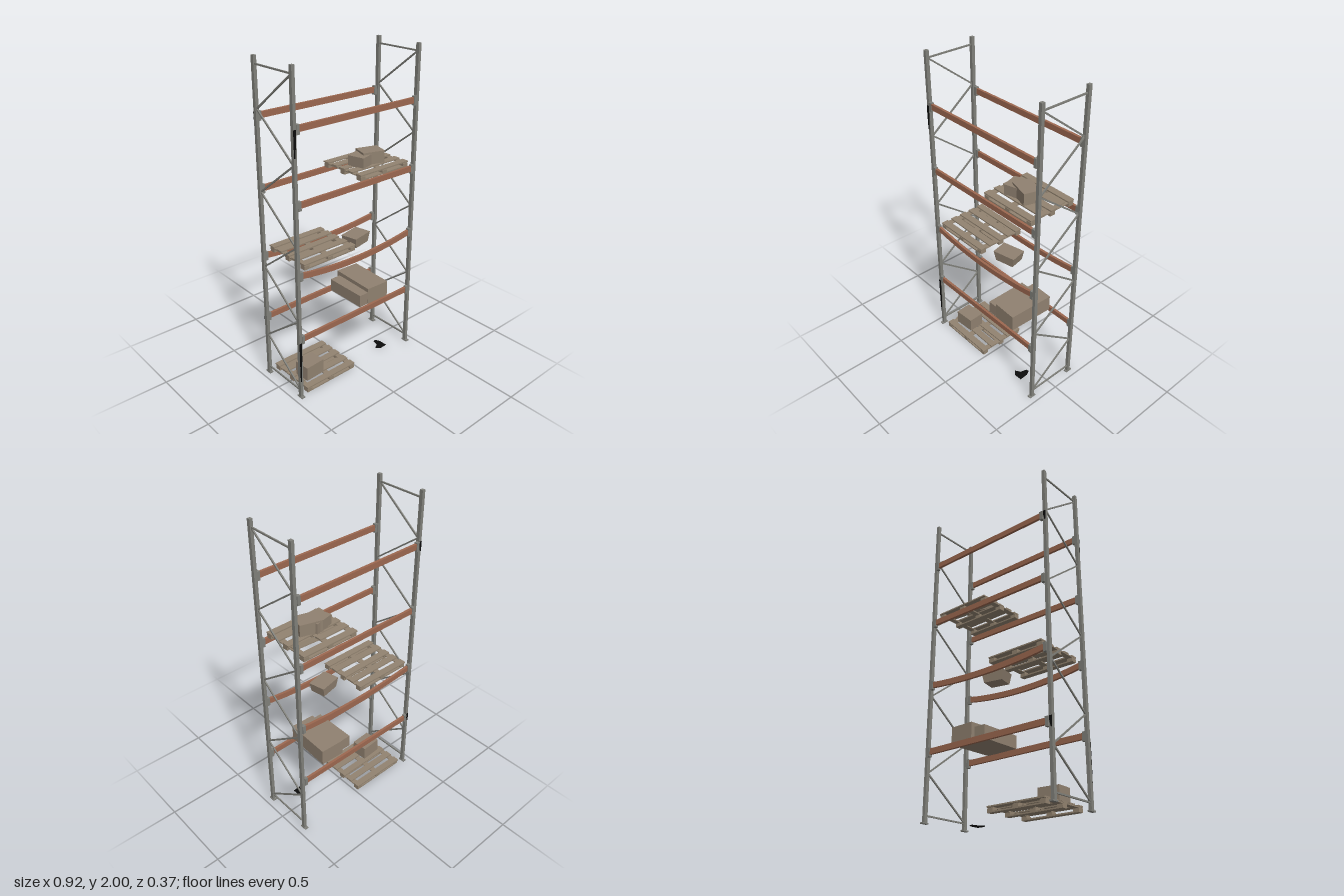
import * as THREE from 'three';

const mat = (name, color) => {
  const m = new THREE.MeshStandardMaterial({ color });
  m.name = name;
  return m;
};

export function createModel() {
  const steel = mat('grey steel', 0x80807a);
  const rust = mat('rusty orange', 0x9c6850);
  const wood = mat('pallet wood', 0x928370);
  const card = mat('cardboard', 0x908170);
  const black = mat('black scrap', 0x0c0c0c);
  black.side = THREE.DoubleSide;

  const root = new THREE.Group();
  root.name = 'warehouseRack';

  // Box from its centre and size
  const box = (parent, name, m, size, pos, rot = [0, 0, 0]) => {
    const mesh = new THREE.Mesh(new THREE.BoxGeometry(...size), m);
    mesh.name = name;
    mesh.position.set(...pos);
    mesh.rotation.set(...rot);
    parent.add(mesh);
    return mesh;
  };

  // Uprights with foot plates
  for (const sx of [-1, 1]) {
    for (const sz of [-1, 1]) {
      box(root, 'upright', steel, [0.02, 2, 0.022], [sx * 0.45, 1, sz * 0.161]);
      box(root, 'footPlate', steel, [0.024, 0.008, 0.044], [sx * 0.45, 0.004, sz * 0.163]);
    }
    // Zigzag bracing of the end frame
    const brace = (y0, z0, y1, z1) => {
      const len = Math.hypot(y1 - y0, z1 - z0);
      box(root, 'brace', steel, [0.008, 0.009, len],
        [sx * 0.45, (y0 + y1) / 2, (z0 + z1) / 2], [-Math.atan2(y1 - y0, z1 - z0), 0, 0]);
    };
    brace(1.955, -0.155, 1.955, 0.155);
    brace(0.047, -0.155, 0.047, 0.155);
    const step = 0.2375;
    for (let i = 0; i < 8; i++) {
      const s = i % 2 ? -1 : 1;
      brace(1.953 - i * step, s * 0.155, 1.953 - (i + 1) * step, -s * 0.155);
    }
  }

  // Shelf beams, the third pair bent under load
  const beam = (y, z, sag) => {
    const geo = new THREE.BoxGeometry(0.86, 0.035, 0.016, sag ? 12 : 1, 1, 1);
    const p = geo.attributes.position;
    for (let i = 0; i < p.count; i++) {
      const t = p.getX(i) / 0.43;
      p.setY(i, p.getY(i) - sag * (1 - t * t));
    }
    geo.computeVertexNormals();
    const mesh = new THREE.Mesh(geo, rust);
    mesh.name = 'beam';
    mesh.position.set(0, y, z);
    root.add(mesh);
    for (const s of [-1, 1]) {
      box(root, 'beamBracket', steel, [0.02, 0.055, 0.021], [s * 0.43, y - 0.003, z]);
    }
  };
  for (const [y, front, back] of [[0.41, 0, 0], [0.828, 0.038, 0.026], [1.254, 0, 0], [1.676, 0, 0]]) {
    beam(y, 0.164, front);
    beam(y, -0.168, back);
  }

  // Pallet: deck boards, cross boards, blocks and skids
  const slatZ = [-0.144, -0.075, -0.006, 0.069, 0.14];
  const pallet = (name, x, y, broken) => {
    const g = new THREE.Group();
    g.name = name;
    g.position.set(x, y, 0);
    slatZ.forEach((z, i) => {
      const yaw = 0.012 * (i % 3 - 1);
      if (broken && i === 1) {
        // Snapped board with its loose end lifted
        box(g, 'brokenBoard', wood, [0.21, 0.008, 0.044], [-0.085, 0.032, z], [0, yaw, 0]);
        box(g, 'brokenBoard', wood, [0.16, 0.006, 0.044], [0.11, 0.037, z + 0.005], [0.1, 0, 0.06]);
      } else {
        box(g, 'deckBoard', wood, [0.383, 0.008, 0.044], [0, 0.032, z], [0, yaw, 0]);
      }
    });
    for (const bx of [-0.172, 0, 0.172]) {
      box(g, 'crossBoard', wood, [0.036, 0.006, 0.31], [bx, 0.025, 0]);
      for (const bz of [-0.142, 0, 0.142]) {
        box(g, 'block', wood, [0.036, 0.017, 0.036], [bx, 0.0145, bz]);
      }
    }
    for (const bz of [-0.142, 0, 0.142]) {
      box(g, 'skid', wood, [0.38, 0.008, 0.036], [0, 0.004, bz]);
    }
    root.add(g);
  };
  pallet('floorPallet', -0.208, 0.001, false);
  pallet('middlePallet', -0.21, 0.85, false);
  pallet('upperPallet', 0.21, 1.274, true);

  // Cartons on the floor pallet and the lowest shelf
  box(root, 'floorCarton', card, [0.135, 0.092, 0.105], [-0.294, 0.083, 0.052], [0, 0.06, 0]);
  box(root, 'longCarton', card, [0.16, 0.105, 0.305], [0.188, 0.478, 0.003], [0, -0.04, 0]);
  box(root, 'lowCarton', card, [0.075, 0.08, 0.28], [0.074, 0.465, 0.01], [0, 0, 0]);

  // Crushed carton, narrower at its base
  const crushed = box(root, 'crushedCarton', card, [0.148, 0.064, 0.108], [0.095, 0.848, 0.04], [0, 0.21, 0]);
  const cp = crushed.geometry.attributes.position;
  for (let i = 0; i < cp.count; i++) {
    if (cp.getY(i) < 0) {
      cp.setX(i, cp.getX(i) * 0.82);
      cp.setZ(i, cp.getZ(i) * 0.88);
    }
  }
  crushed.geometry.computeVertexNormals();

  // Two piled cartons on the upper pallet
  box(root, 'pileCartonLow', card, [0.135, 0.065, 0.11], [0.157, 1.342, 0.02], [0, 0.25, 0.03]);
  box(root, 'pileCartonHigh', card, [0.14, 0.075, 0.106], [0.219, 1.349, 0.023], [0, -0.29, 0]);

  // Black scraps hanging on the left uprights
  const scrap = (points, pos, rot = [0, 0, 0]) => {
    const shape = new THREE.Shape(points.map(([a, b]) => new THREE.Vector2(a, b)));
    const mesh = new THREE.Mesh(new THREE.ExtrudeGeometry(shape, { depth: 0.003, bevelEnabled: false }), black);
    mesh.name = 'blackScrap';
    mesh.position.set(...pos);
    mesh.rotation.set(...rot);
    root.add(mesh);
  };
  const strip = (h) => [[-0.002, 0], [0.003, 0], [0.011, h * 0.6], [0.012, h], [-0.004, h], [-0.004, h * 0.5]];
  scrap(strip(0.15), [-0.456, 1.525, 0.172]);
  scrap(strip(0.27), [-0.456, 0.12, 0.172]);
  scrap(strip(0.06), [-0.456, 1.64, -0.175]);
  scrap(strip(0.06), [-0.456, 0.375, -0.175]);

  // Black scrap lying on the floor
  scrap([[0.23, -0.1], [0.255, -0.125], [0.307, -0.122], [0.305, -0.065], [0.29, -0.035], [0.272, -0.04], [0.262, -0.08]],
    [0, 0.001, 0], [-Math.PI / 2, 0, 0]);

  return root;
}
